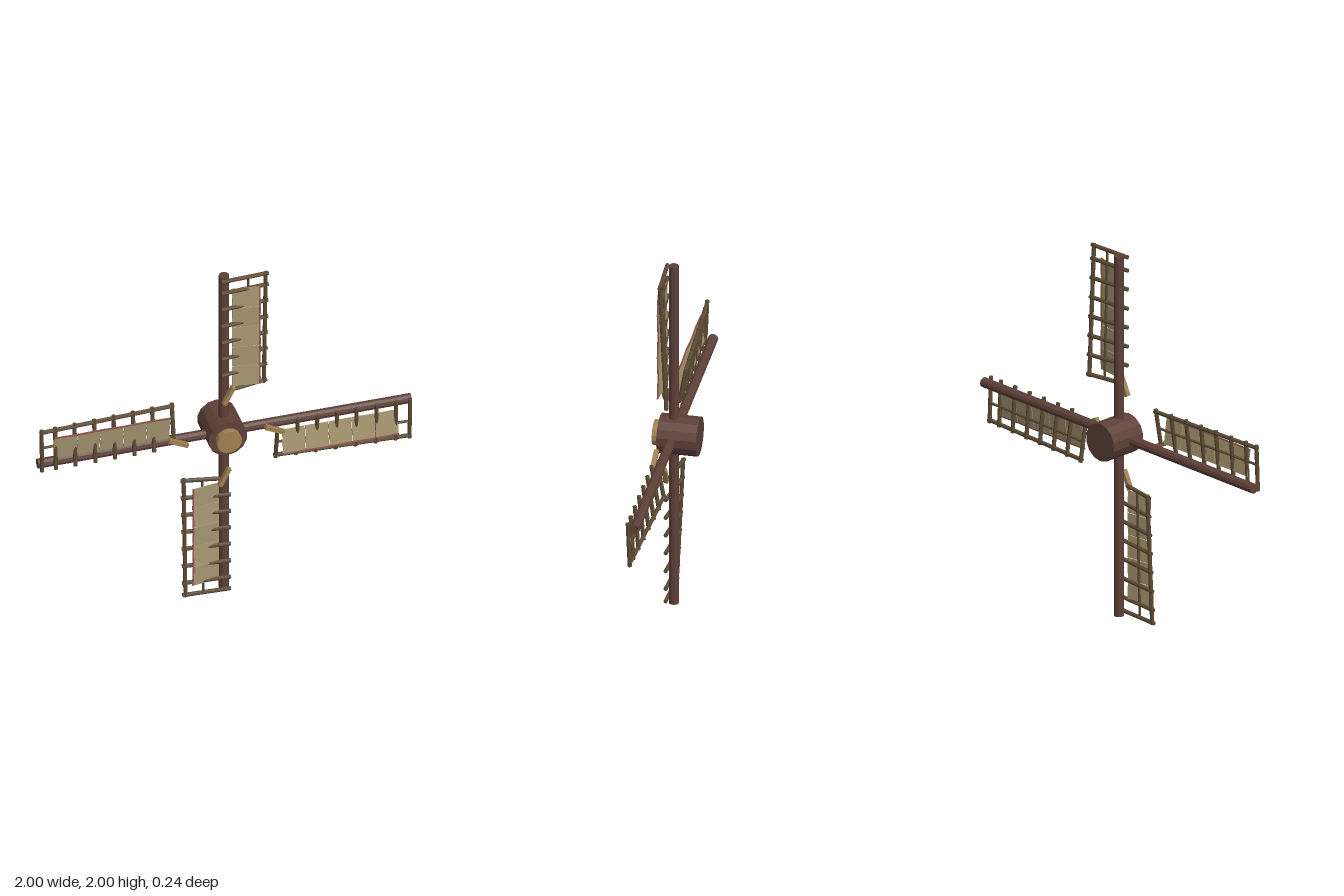
import * as THREE from 'three';

const mat = (name, color, flat = true) => {
  const m = new THREE.MeshStandardMaterial({ color, flatShading: flat });
  m.name = name;
  return m;
};

export function createModel() {
  const darkWood = mat('dark wood', 0x5e4038);
  const latticeWood = mat('lattice wood', 0x5c4a34);
  const paleWood = mat('pale wood', 0xa08050);
  const cloth = mat('sail cloth', 0xa89872);
  const red = mat('red hem', 0x94584f);

  const model = new THREE.Group();
  model.name = 'windmillSails';
  const V = (x, y, z) => new THREE.Vector3(x, y, z);

  const add = (parent, name, geometry, material) => {
    const mesh = new THREE.Mesh(geometry, material);
    mesh.name = name;
    parent.add(mesh);
    return mesh;
  };

  // Round pole between two points
  const pole = (parent, name, a, b, r, material, sides = 8) => {
    const mesh = add(parent, name, new THREE.CylinderGeometry(r, r, a.distanceTo(b), sides), material);
    mesh.position.lerpVectors(a, b, 0.5);
    mesh.quaternion.setFromUnitVectors(V(0, 1, 0), b.clone().sub(a).normalize());
    return mesh;
  };

  // Hub with its front cap
  const hub = new THREE.Group();
  hub.name = 'hub';
  hub.position.y = 1;
  model.add(hub);
  pole(hub, 'hubDrum', V(0, 0, -0.12), V(0, 0, 0.088), 0.104, darkWood, 14);
  pole(hub, 'hubCap', V(0, 0, 0.08), V(0, 0, 0.12), 0.067, paleWood, 14);

  // The frame twists: its outer edge lies further back towards the hub
  const root = 0.278, tip = 0.986, inner = -0.025, outer = 0.215;
  const innerZ = 0.055;
  const outerZ = (y) => THREE.MathUtils.mapLinear(y, root, tip, 0.012, 0.045);
  const framePoint = (x, y) =>
    V(x, y, THREE.MathUtils.mapLinear(x, inner, outer, innerZ, outerZ(y)));
  const rungHeights = [root, 0.385, 0.49, 0.595, 0.7, 0.807, 0.912, tip];

  const makeArm = () => {
    const arm = new THREE.Group();
    pole(arm, 'spar', V(0, 0.03, 0.016), V(0, 1, 0.016), 0.027, darkWood, 10);

    // Lattice frame; the innermost rung stops short of the spar
    for (const y of rungHeights) {
      const start = y === root ? 0.03 : inner;
      pole(arm, 'rung', framePoint(start, y), framePoint(0.23, y), 0.011, latticeWood);
    }
    pole(arm, 'outerRail', framePoint(outer, 0.267), framePoint(outer, 0.995), 0.011, latticeWood);
    pole(arm, 'middleRail', framePoint(0.12, root), framePoint(0.12, tip), 0.007, latticeWood);

    // Five overlapping-looking cloth panels with a hem on the outer edge
    const step = 0.1245, gap = 0.003;
    for (let i = 0; i < 5; i++) {
      const panel = new THREE.Group();
      panel.name = 'sailPanel';
      panel.position.set(0.106, 0.301 + step * (i + 0.5), 0.054);
      panel.rotation.set(i % 2 ? 0.03 : -0.03, -0.13, 0);
      add(panel, 'cloth', new THREE.BoxGeometry(0.142, step - gap, 0.004), cloth);
      const hem = add(panel, 'hem', new THREE.BoxGeometry(0.008, step - gap, 0.006), red);
      hem.position.x = 0.073;
      arm.add(panel);
    }

    // Short brace from the spar to the sail
    const brace = add(arm, 'brace', new THREE.BoxGeometry(0.022, 0.112, 0.025), paleWood);
    brace.position.set(0.011, 0.258, 0.064);
    brace.rotation.z = -0.46;
    return arm;
  };

  // Four identical arms around the hub
  ['topArm', 'leftArm', 'bottomArm', 'rightArm'].forEach((name, i) => {
    const arm = makeArm();
    arm.name = name;
    arm.position.y = 1;
    arm.rotation.z = -i * Math.PI / 2;
    model.add(arm);
  });

  return model;
}
